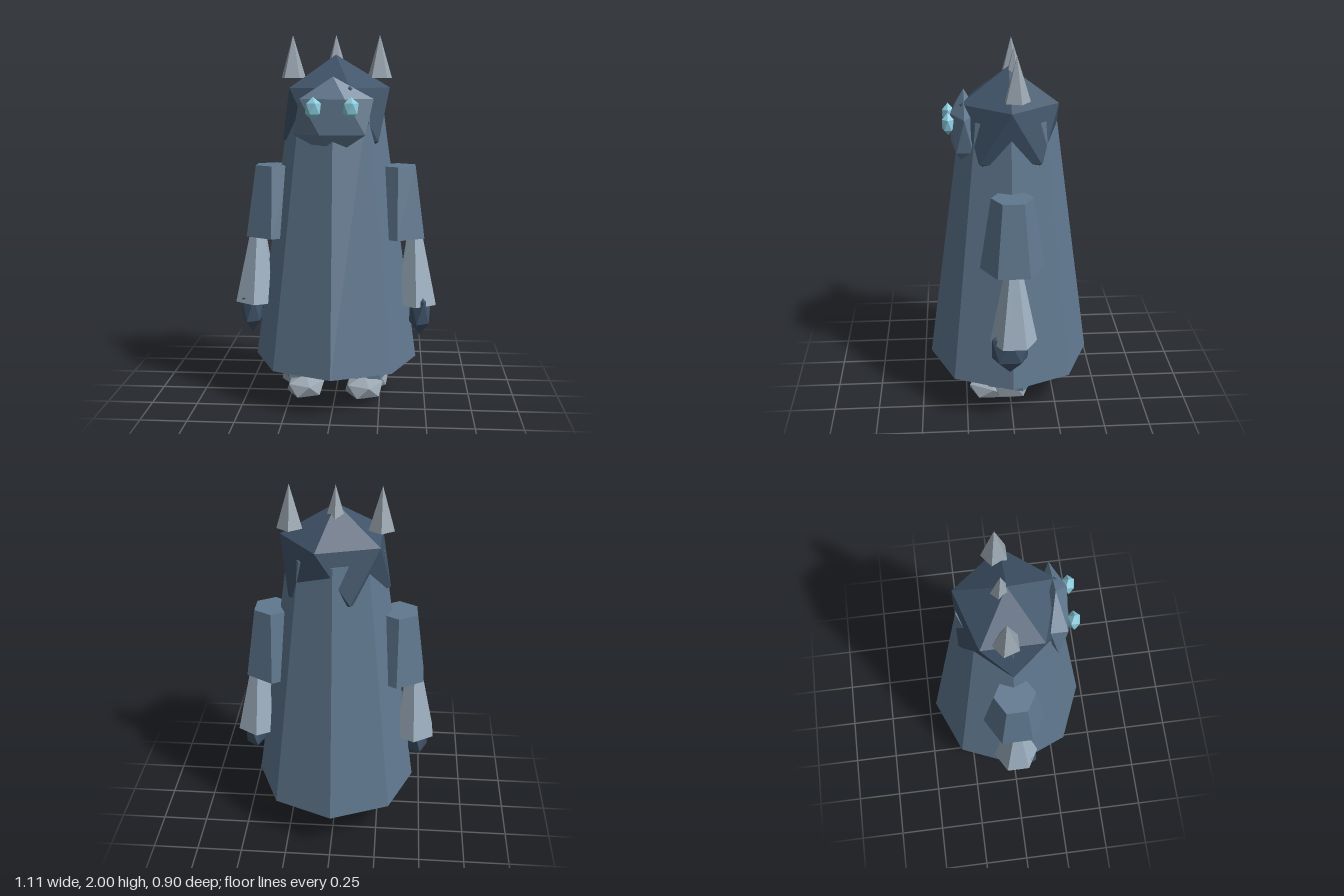
import * as THREE from 'three';

export function createModel() {
  const model = new THREE.Group();
  model.name = 'hornedFigure';

  const mat = (name, color) => {
    const m = new THREE.MeshStandardMaterial({ color, flatShading: true });
    m.name = name;
    return m;
  };
  const slate = mat('slateBlue', 0x60788f);
  const dark = mat('darkSlate', 0x40546a);
  const pale = mat('paleBlueGrey', 0x9fb1c2);
  const bone = mat('boneGrey', 0x9ba7b1);
  const cyan = mat('eyeCyan', 0x8acbdd);

  const add = (name, geometry, material, x, y, z) => {
    const mesh = new THREE.Mesh(geometry, material);
    mesh.name = name;
    mesh.position.set(x, y, z);
    model.add(mesh);
    return mesh;
  };

  // Twenty-sided ball standing on a corner, upper ring pointing to +x
  const ball = (name, material, x, y, z, rx, ry, rz) => {
    const g = new THREE.IcosahedronGeometry(1, 0);
    g.rotateX(-Math.atan2((1 + Math.sqrt(5)) / 2, 1));
    g.rotateY(Math.PI / 2);
    g.scale(rx, ry, rz);
    return add(name, g, material, x, y, z);
  };

  // Upright tapered prism between two heights; odd-sided ones point backwards
  const taper = (name, material, sides, x, z, y0, r0, y1, r1) => {
    const g = new THREE.CylinderGeometry(r1, r0, y1 - y0, sides);
    if (sides % 2) g.rotateY(Math.PI);
    return add(name, g, material, x, (y0 + y1) / 2, z);
  };

  // Cloak, hood and face
  taper('cloak', slate, 8, 0, 0, 0.22, 0.45, 1.645, 0.252);
  ball('hood', dark, 0, 1.58, 0, 0.325, 0.315, 0.3);
  ball('face', slate, 0, 1.575, 0.235, 0.235, 0.206, 0.083);

  // Row of three horns
  for (const x of [-0.235, 0, 0.235]) {
    const g = new THREE.ConeGeometry(0.07, 0.23, 5);
    g.rotateY(Math.PI);
    add('horn', g, bone, x, 1.885, -0.028);
  }

  for (const s of [-1, 1]) {
    const side = s > 0 ? 'left' : 'right';
    ball(side + 'Eye', cyan, s * 0.096, 1.62, 0.318, 0.046, 0.06, 0.036);

    // Arm: sleeve, flared forearm and hand
    taper(side + 'Sleeve', slate, 6, s * 0.34, 0, 0.91, 0.17, 1.3, 0.11);
    const forearm = taper(side + 'Forearm', pale, 6, s * 0.442, 0, 0.53, 0.125, 0.92, 0.047);
    forearm.rotation.z = s * 0.03;
    ball(side + 'Hand', dark, s * 0.47, 0.495, 0.02, 0.067, 0.145, 0.112);

    // Leg: trouser, ankle and foot
    taper(side + 'Leg', slate, 5, s * 0.155, -0.01, 0.12, 0.17, 0.5, 0.115);
    ball(side + 'Ankle', bone, s * 0.195, 0.125, 0, 0.125, 0.125, 0.13);
    ball(side + 'Foot', bone, s * 0.163, 0.07, 0.1, 0.117, 0.066, 0.155);
  }

  return model;
}
